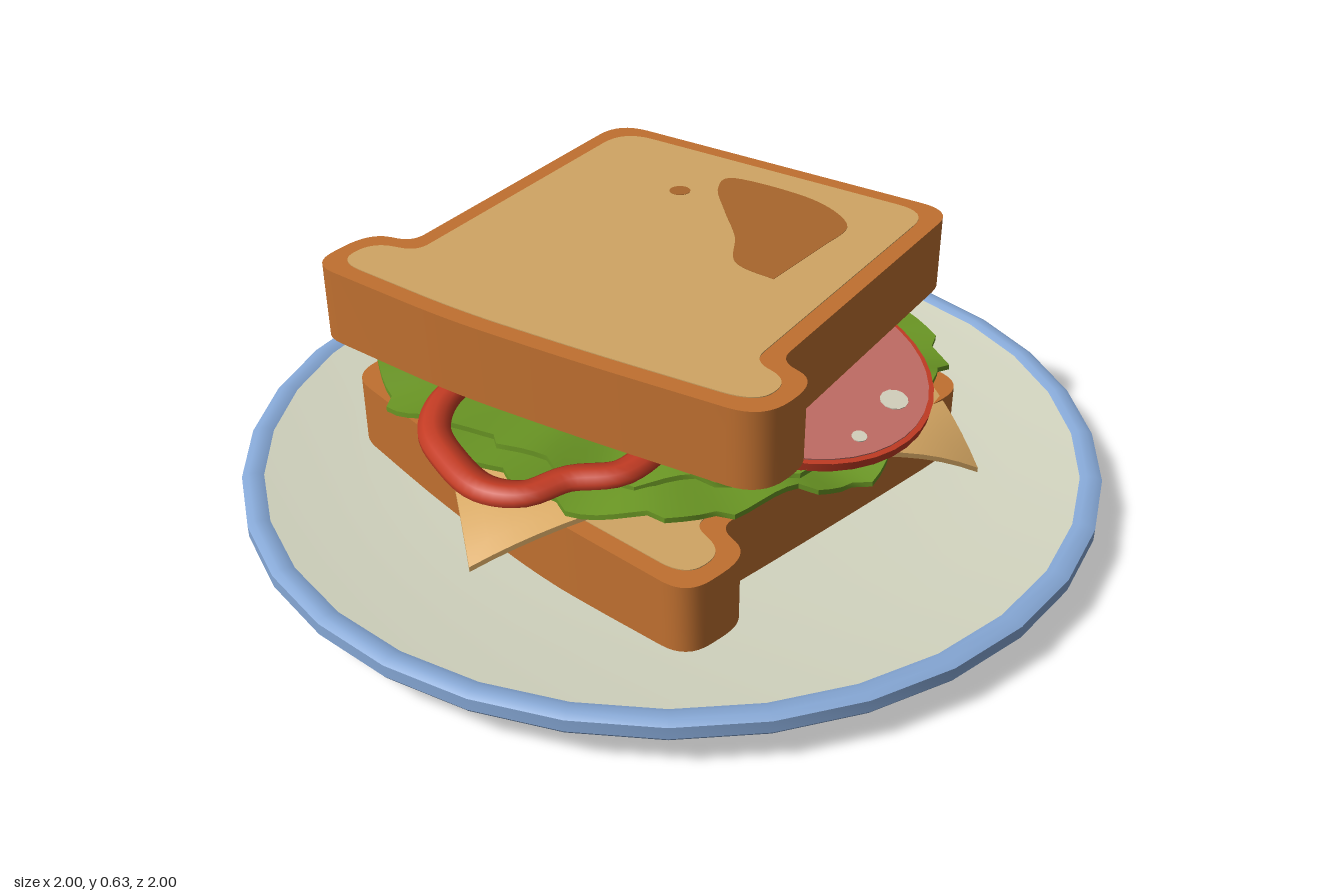
import * as THREE from 'three';
import { toCreasedNormals } from 'three/addons/utils/BufferGeometryUtils.js';

const mat = (name, color, side = THREE.FrontSide) => {
  const m = new THREE.MeshStandardMaterial({ color, side });
  m.name = name;
  return m;
};
const M = {
  plate: mat('cream ceramic', 0xd3d5c0),
  rim: mat('blue glaze', 0x86a8d6),
  crust: mat('crust brown', 0xc07030),
  crumb: mat('crumb tan', 0xd0a564),
  toast: mat('toasted brown', 0xa8662c),
  cheese: mat('cheese yellow', 0xdcac66),
  lettuce: mat('lettuce green', 0x6a9624, THREE.DoubleSide),
  pepper: mat('pepper red', 0xc43c24),
  meat: mat('salami pink', 0xc46e66),
  fat: mat('fat white', 0xd8d4c0),
};

function add(parent, name, geometry, material) {
  const mesh = new THREE.Mesh(geometry, material);
  mesh.name = name;
  parent.add(mesh);
  return mesh;
}

function group(parent, name) {
  const g = new THREE.Group();
  g.name = name;
  parent.add(g);
  return g;
}

const v2 = (list) => list.map(([x, y]) => new THREE.Vector2(x, y));

// Moves every vertex by a rule
function warp(geometry, rule) {
  const p = geometry.attributes.position;
  const v = new THREE.Vector3();
  for (let i = 0; i < p.count; i++) {
    v.fromBufferAttribute(p, i);
    rule(v);
    p.setXYZ(i, v.x, v.y, v.z);
  }
  geometry.computeVertexNormals();
  return geometry;
}

// Flat outline in x/z, extruded upwards from y = 0
function slab(shape, height) {
  const g = new THREE.ExtrudeGeometry(shape, { depth: height, bevelEnabled: false, curveSegments: 8 });
  g.rotateX(Math.PI / 2).translate(0, height, 0);
  return toCreasedNormals(g, 0.7);
}

// Rounded polygon: each corner is [x, z, radius]; inset moves edges inward
function roundedShape(corners, inset = 0) {
  const n = corners.length;
  const P = corners.map(([x, y]) => new THREE.Vector2(x, y));
  const Q = P.map((p, i) => {
    const a = p.clone().sub(P[(i + n - 1) % n]).normalize();
    const b = P[(i + 1) % n].clone().sub(p).normalize();
    const normal = new THREE.Vector2(-a.y - b.y, a.x + b.x).normalize();
    return p.clone().addScaledVector(normal, inset / Math.max(0.5, normal.dot(new THREE.Vector2(-a.y, a.x))));
  });
  const s = new THREE.Shape();
  Q.forEach((p, i) => {
    const prev = Q[(i + n - 1) % n], next = Q[(i + 1) % n];
    const toward = (q) => p.clone().lerp(q, Math.min(0.48, corners[i][2] / p.distanceTo(q)));
    const a = toward(prev), b = toward(next);
    if (i) s.lineTo(a.x, a.y); else s.moveTo(a.x, a.y);
    s.quadraticCurveTo(p.x, p.y, b.x, b.y);
  });
  s.closePath();
  return s;
}

// Bread slice with crumb and toasted patches on both faces, centred on y = 0
const loaf = [
  [-0.59, -0.53, 0.07], [-0.41, -0.545, 0.08], [-0.375, -0.44, 0.04], [0.435, -0.54, 0.09],
  [0.53, 0.405, 0.08], [-0.27, 0.5, 0.04], [-0.29, 0.605, 0.08], [-0.46, 0.605, 0.08],
  [-0.53, 0.2, 0.12], [-0.575, -0.12, 0.12],
];
function breadSlice(parent, name, height) {
  const g = group(parent, name);
  add(g, 'crust', slab(roundedShape(loaf), height), M.crust).position.y = -height / 2;
  const patch = new THREE.Shape();
  patch.moveTo(-0.01, 0.29);
  patch.splineThru(v2([[0.0, 0.18], [0.1, 0.1], [0.19, 0], [0.28, -0.09], [0.35, -0.09], [0.37, 0.12], [0.31, 0.26], [0.2, 0.28]]));
  const dot = new THREE.Shape().absarc(0.21, -0.15, 0.025, 0, Math.PI * 2);
  for (const s of [1, -1]) {
    const y = s * height / 2;
    add(g, 'crumbFace', slab(roundedShape(loaf, 0.042), 0.004), M.crumb).position.y = y - 0.002;
    add(g, 'toastedPatch', slab([patch, dot], 0.006), M.toast).position.y = y - 0.003;
  }
  return g;
}

// Cheese square with corners hanging over the bread
function cheeseSlice(parent) {
  // corner: x, z, droop
  const L = [-0.76, 0.1, 0.08], F = [0.28, 0.67, 0.135], B = [-0.18, -0.68, 0.085], R = [0.645, -0.13, 0.165];
  const g = warp(new THREE.BoxGeometry(2, 0.012, 2, 24, 1, 24), (v) => {
    const a = (v.x + 1) / 2, b = (v.z + 1) / 2;
    const mix = (k) => (1 - a) * ((1 - b) * B[k] + b * L[k]) + a * ((1 - b) * R[k] + b * F[k]);
    const corner = a < 0.5 ? (b < 0.5 ? B : L) : (b < 0.5 ? R : F);
    const s = Math.max(0, Math.abs(v.x) + Math.abs(v.z) - 1);
    v.set(mix(0), 0.285 + v.y - corner[2] * s ** 2.7, mix(1));
  });
  add(parent, 'cheese', g, M.cheese);
}

// Ruffled lettuce leaf with a ragged edge
function lettuceLeaf(parent, name, y, rx, rz, cz, phase, tiltX, tiltZ) {
  const rings = [0, 0.3, 0.55, 0.75, 0.9, 1];
  const profile = [...rings.map((r) => [r, -0.006]), ...rings.slice().reverse().map((r) => [r, 0.006])];
  const g = warp(new THREE.LatheGeometry(v2(profile), 120), (v) => {
    const r = Math.hypot(v.x, v.z), t = Math.atan2(v.z, v.x);
    const saw = (((t / (2 * Math.PI)) * 24 + 48 + phase) % 1);
    const k = 1 + r ** 4 * (0.045 * Math.sin(3 * t + phase) + 0.03 * Math.sin(8 * t + phase * 2) + 0.05 * (saw - 0.5));
    const ruffle = r * r * (0.016 * Math.sin(6 * t + phase) + 0.01 * Math.sin(13 * t + phase));
    v.set(v.x * rx * k, y + v.y + ruffle + tiltX * v.x + tiltZ * v.z, v.z * rz * k + cz);
  });
  add(parent, name, toCreasedNormals(g, 0.8), M.lettuce);
}

// Salami disc with red rind; specks are [x, z, radius] from its centre
function salami(parent, name, x, y, z, tilt, specks) {
  const g = group(parent, name);
  const r = 0.325;
  add(g, 'rind', new THREE.CylinderGeometry(r, r, 0.02, 40), M.pepper);
  add(g, 'meat', new THREE.CylinderGeometry(r - 0.012, r - 0.012, 0.026, 40), M.meat);
  for (const [sx, sz, sr] of specks) {
    const speck = add(g, 'fatSpeck', new THREE.CylinderGeometry(sr, sr, 0.03, 12), M.fat);
    speck.position.set(sx, 0, sz);
    speck.scale.x = 1.15;
  }
  g.position.set(x, y, z);
  g.rotation.x = tilt;
}

// Wavy pepper ring, sloping along x
function pepperRing(parent, name, points, radius, flat, height) {
  const curve = new THREE.CatmullRomCurve3(points.map(([x, z]) => new THREE.Vector3(x, 0, z)), true);
  const g = new THREE.TubeGeometry(curve, 80, radius, 10, true);
  const p = g.attributes.position;
  for (let i = 0; i < p.count; i++) p.setY(i, p.getY(i) * flat + height(p.getX(i)));
  add(parent, name, g, M.pepper);
}

export function createModel() {
  const model = new THREE.Group();
  model.name = 'sandwichOnPlate';

  // Plate: underside, blue rim, shallow dish
  const plate = group(model, 'plate');
  const turn = (name, pts, m) =>
    add(plate, name, toCreasedNormals(new THREE.LatheGeometry(v2(pts), 32, Math.PI / 32), 0.5), m);
  turn('underside', [[0, 0], [0.745, 0], [1.0, 0.078]], M.plate);
  turn('rim', [[1.0, 0.078], [1.005, 0.085], [1.005, 0.113], [0.99, 0.121], [0.97, 0.121], [0.955, 0.114]], M.rim);
  turn('dish', [[0.955, 0.114], [0.8, 0.095], [0.6, 0.081], [0.3, 0.073], [0, 0.07]], M.plate);

  // Bread: the lower slice is the upper one flipped over
  breadSlice(model, 'topBread', 0.176).position.y = 0.538;
  const bottom = breadSlice(model, 'bottomBread', 0.176);
  bottom.position.y = 0.166;
  bottom.rotation.x = Math.PI;

  // Fillings
  cheeseSlice(model);
  lettuceLeaf(model, 'lowerLettuce', 0.325, 0.62, 0.64, -0.02, 0.4, -0.01, -0.008);
  lettuceLeaf(model, 'upperLettuce', 0.348, 0.6, 0.62, -0.06, 2.3, -0.012, 0.006);
  salami(model, 'frontSalami', -0.02, 0.44, 0.34, 0.22, [[0.08, 0.23, 0.03], [-0.08, 0.25, 0.016], [0, 0, 0.035]]);
  salami(model, 'backSalami', 0.04, 0.445, -0.38, -0.13, [[-0.1, -0.2, 0.038], [0.03, -0.25, 0.022], [0.02, 0.03, 0.03]]);
  pepperRing(model, 'leftPepper', [
    [0.66, -0.15], [0.63, -0.27], [0.54, -0.29], [0.49, -0.39], [0.38, -0.42], [0.25, -0.35],
    [0.2, -0.15], [0.28, 0.04], [0.4, 0.11], [0.5, 0.07], [0.58, 0.06], [0.64, -0.03],
  ], 0.036, 0.9, (x) => 0.375 + (0.66 - x) * 0.13);
  pepperRing(model, 'rightPepper', [
    [-0.725, 0.12], [-0.7, 0], [-0.65, -0.1], [-0.55, -0.16], [-0.38, -0.14], [-0.3, 0.08],
    [-0.38, 0.3], [-0.53, 0.32], [-0.61, 0.24], [-0.69, 0.2],
  ], 0.036, 0.5, (x) => 0.395 + (x + 0.73) * 0.13);

  return model;
}
